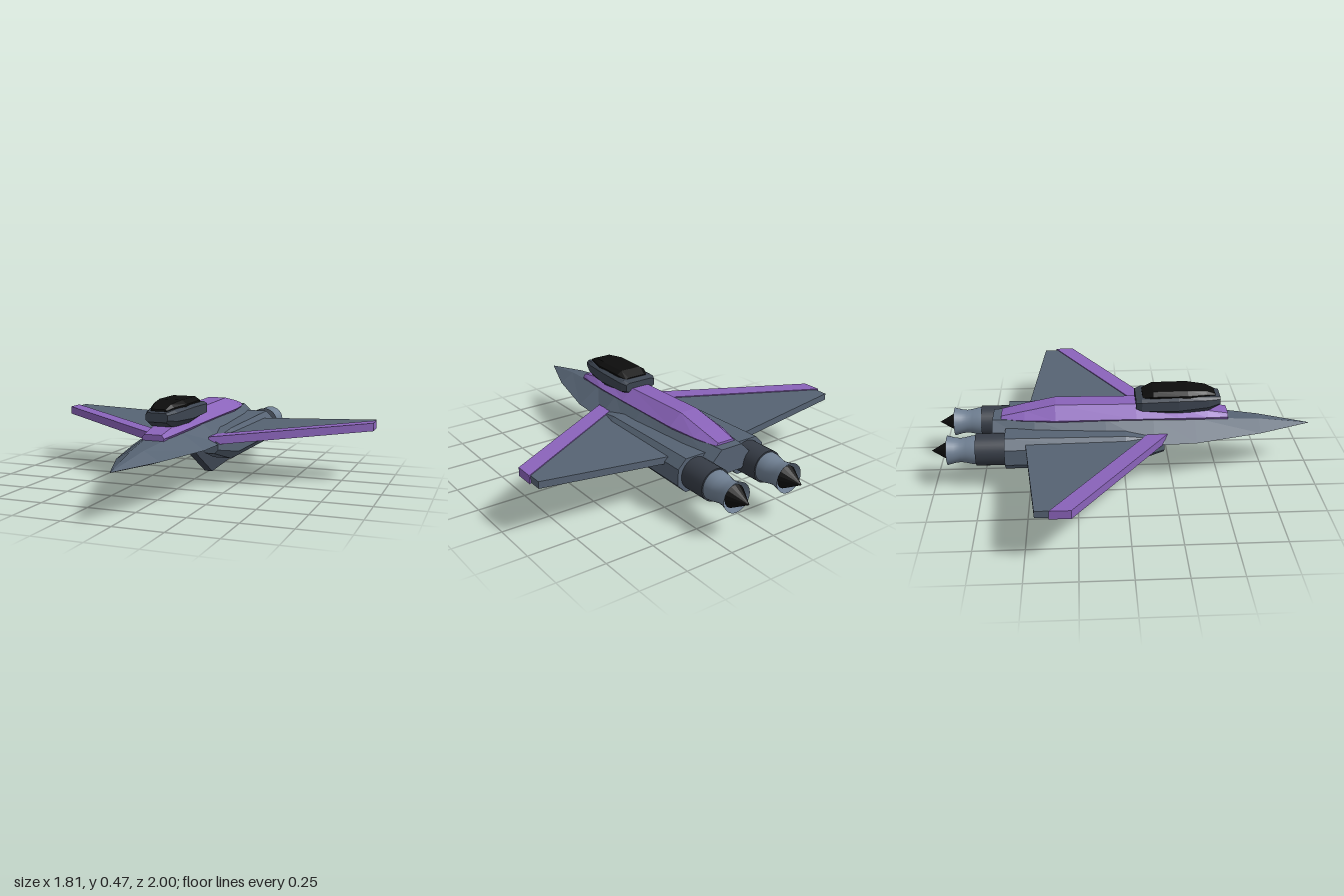
import * as THREE from 'three';

const mat = (color, opts = {}) => new THREE.MeshStandardMaterial({ color, flatShading: true, ...opts });
const hull = mat(0x566373);
const trim = mat(0x8a63ba);
const dark = mat(0x3c4450);
const casing = mat(0x363c46, { flatShading: false });
const nozzleMetal = mat(0x6f7f92, { flatShading: false, side: THREE.DoubleSide });
const black = mat(0x0d0d0d);

function add(parent, name, geometry, material) {
  const mesh = new THREE.Mesh(geometry, material);
  mesh.name = name;
  parent.add(mesh);
  return mesh;
}

// Skins mirrored cross-sections, listed front to back as [z, [x, y] from top to bottom...]
function loft(sections) {
  const rings = sections.map(([z, ...half]) => [
    ...half.map(([x, y]) => [x, y, z]),
    ...half.slice().reverse().map(([x, y]) => [-x, y, z]),
  ]);
  const pos = [];
  const tri = (a, b, c) => pos.push(...a, ...b, ...c);
  const n = rings[0].length;
  for (let s = 0; s < rings.length - 1; s++) {
    for (let i = 0; i < n; i++) {
      const j = (i + 1) % n;
      const [p, q] = [rings[s], rings[s + 1]];
      tri(p[i], p[j], q[j]);
      tri(p[i], q[j], q[i]);
    }
  }
  const first = rings[0], last = rings[rings.length - 1];
  for (let i = 1; i < n - 1; i++) {
    tri(first[0], first[i + 1], first[i]);
    tri(last[0], last[i], last[i + 1]);
  }
  const g = new THREE.BufferGeometry();
  g.setAttribute('position', new THREE.Float32BufferAttribute(pos, 3));
  g.computeVertexNormals();
  return g;
}

// Chamfered box section: half width, bottom, top, chamfer
const oct = (z, w, y0, y1, c) => [z, [w - c, y1], [w, y1 - c], [w, y0 + c], [w - c, y0]];

const shapeOf = (pts) => new THREE.Shape(pts.map(([x, y]) => new THREE.Vector2(x, y)));

// Flat plate from a plan outline [x, z], rising towards the tip
function wingPlate(outline, side, y0, thickness) {
  const g = new THREE.ExtrudeGeometry(shapeOf(outline.map(([x, z]) => [x * side, -z])), {
    depth: thickness, bevelEnabled: false,
  });
  g.rotateX(-Math.PI / 2);
  const p = g.attributes.position;
  for (let i = 0; i < p.count; i++) {
    p.setY(i, p.getY(i) + y0 + 0.054 * (Math.abs(p.getX(i)) - 0.16));
  }
  g.computeVertexNormals();
  return g;
}

// Turned part along -z from [radius, distance behind the centre]
const turned = (pts) =>
  new THREE.LatheGeometry(pts.map(([r, d]) => new THREE.Vector2(r, d)), 32).rotateX(-Math.PI / 2);

export function createModel() {
  const model = new THREE.Group();
  model.name = 'fighterJet';

  // Six-sided fuselage running to a pointed nose
  add(model, 'fuselage', loft([
    [1.0, [0.001, 0.241], [0.002, 0.24], [0.001, 0.239]],
    [0.72, [0.03, 0.287], [0.11, 0.24], [0.045, 0.22]],
    [0.37, [0.07, 0.32], [0.195, 0.237], [0.075, 0.2]],
    [0.15, [0.1, 0.337], [0.207, 0.237], [0.08, 0.187]],
    [-0.1, [0.105, 0.34], [0.2, 0.24], [0.08, 0.185]],
    [-0.47, [0.09, 0.34], [0.17, 0.25], [0.08, 0.185]],
    [-0.69, [0.06, 0.332], [0.118, 0.275], [0.07, 0.2]],
  ]), hull);

  // Raised coloured spine
  add(model, 'spine', loft([
    [0.55, [0.045, 0.332], [0.058, 0.315], [0.05, 0.295]],
    [0.44, [0.05, 0.352], [0.08, 0.325], [0.06, 0.3]],
    [0.28, [0.05, 0.372], [0.105, 0.338], [0.08, 0.31]],
    [0.06, [0.05, 0.4], [0.118, 0.345], [0.1, 0.325]],
    [-0.36, [0.05, 0.405], [0.118, 0.345], [0.1, 0.325]],
    [-0.52, [0.05, 0.373], [0.095, 0.34], [0.08, 0.32]],
    [-0.645, [0.045, 0.345], [0.06, 0.332], [0.05, 0.31]],
  ]), trim);

  // Cockpit frame and glass
  add(model, 'canopyFrame', loft([
    [0.505, [0.048, 0.43], [0.057, 0.42], [0.057, 0.395], [0.048, 0.385]],
    [0.44, [0.065, 0.44], [0.08, 0.425], [0.08, 0.385], [0.055, 0.355]],
    [0.28, [0.085, 0.447], [0.105, 0.435], [0.105, 0.38], [0.07, 0.348]],
    [0.09, [0.085, 0.442], [0.105, 0.43], [0.105, 0.385], [0.07, 0.368]],
    [0.06, [0.07, 0.432], [0.09, 0.424], [0.09, 0.39], [0.06, 0.376]],
  ]), dark);
  add(model, 'canopyGlass', loft([
    [0.478, [0.035, 0.444], [0.042, 0.438], [0.035, 0.425]],
    [0.43, [0.045, 0.465], [0.06, 0.448], [0.055, 0.425]],
    [0.33, [0.06, 0.475], [0.087, 0.455], [0.08, 0.43]],
    [0.15, [0.06, 0.473], [0.087, 0.455], [0.08, 0.43]],
    [0.095, [0.05, 0.447], [0.067, 0.44], [0.06, 0.425]],
  ]), black);

  // Keel fin under the tail
  const fin = new THREE.ExtrudeGeometry(
    shapeOf([[0.1, 0.195], [0, 0.13], [-0.22, 0.002], [-0.615, 0.025], [-0.635, 0.195]]),
    { depth: 0.044, bevelEnabled: false },
  );
  add(model, 'ventralFin', fin.translate(0, 0, -0.022).rotateY(-Math.PI / 2), dark);

  for (const side of [1, -1]) {
    const label = side > 0 ? 'left' : 'right';

    // Swept wing with a coloured leading edge
    add(model, label + 'Wing', wingPlate(
      [[0.12, 0.17], [0.895, -0.34], [0.895, -0.44], [0.12, -0.525]], side, 0.238, 0.035,
    ), hull);
    add(model, label + 'LeadingEdge', wingPlate(
      [[0.16, 0.22], [0.905, -0.275], [0.905, -0.375], [0.16, 0.115]], side, 0.235, 0.043,
    ), trim);

    // Engine pod, casing, flared nozzle and exhaust cone
    const engine = new THREE.Group();
    engine.name = label + 'Engine';
    engine.position.x = side * 0.16;
    model.add(engine);
    add(engine, 'nacelle', loft([
      oct(0.2, 0.045, 0.19, 0.26, 0.02),
      oct(0.0, 0.09, 0.13, 0.295, 0.042),
      oct(-0.62, 0.102, 0.128, 0.303, 0.045),
    ]), hull);

    const exhaust = new THREE.Group();
    exhaust.name = 'exhaust';
    exhaust.position.y = 0.213;
    engine.add(exhaust);
    add(exhaust, 'casing',
      new THREE.CylinderGeometry(0.083, 0.083, 0.17, 32).rotateX(-Math.PI / 2).translate(0, 0, -0.685), casing);
    add(exhaust, 'nozzle', turned([
      [0.076, 0.765], [0.074, 0.79], [0.067, 0.82], [0.062, 0.85], [0.066, 0.88], [0.076, 0.918],
    ]), nozzleMetal);
    add(exhaust, 'cone',
      new THREE.ConeGeometry(0.058, 0.1, 16).rotateX(-Math.PI / 2).translate(0, 0, -0.95), black);
  }
  return model;
}
